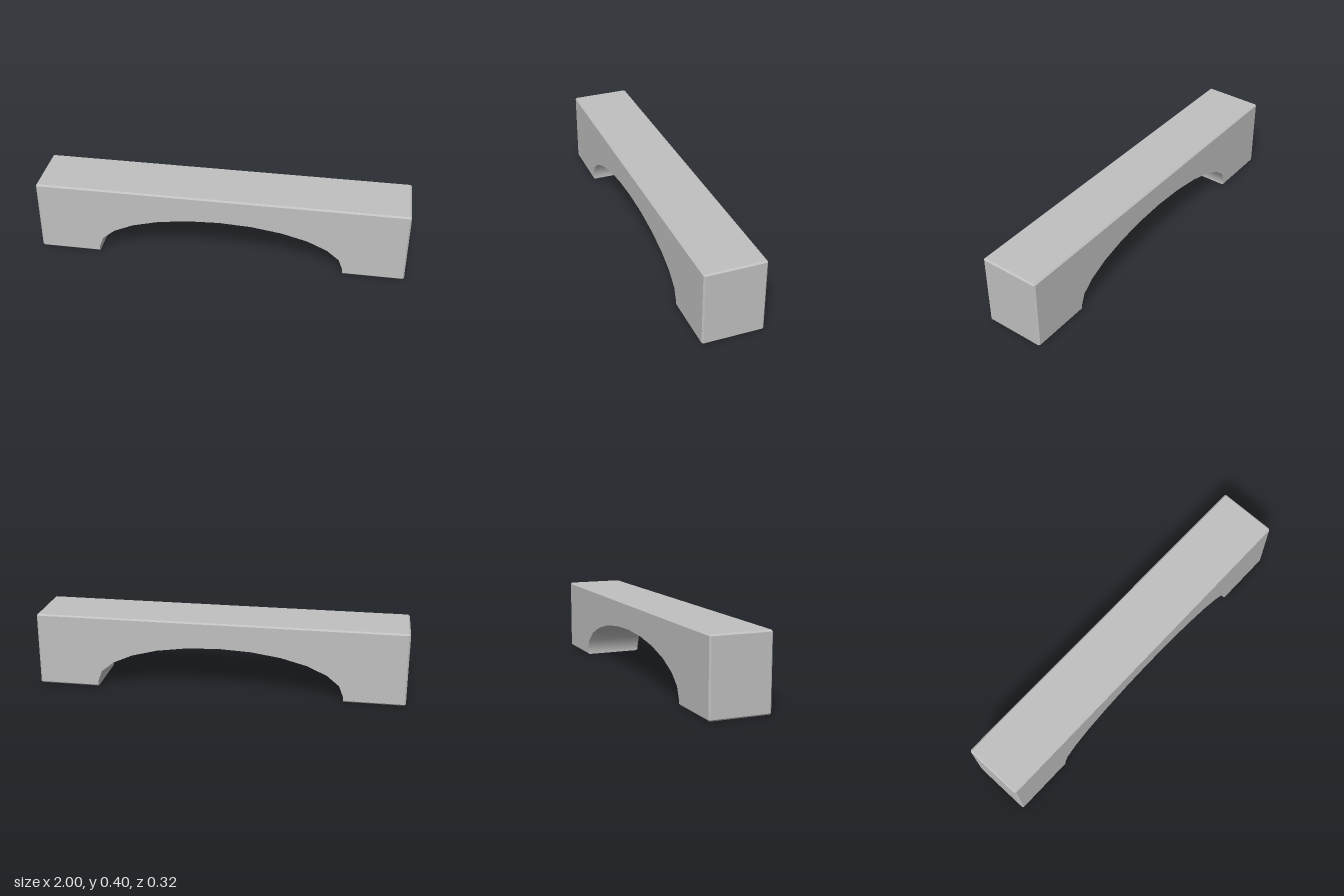
import * as THREE from 'three';

const L = 1, H = 0.402, D = 0.1625;      // half length, height, half depth
const C = 0.008;                         // edge chamfer
const AX = 0.67, AY = 0.03, AR = 0.232;  // arch half span, spring height, rise
const WALL = 0.05;

// Outer outline from the right foot, over the top, to the left foot
function outerOutline(inset) {
  const e = inset ? C : 0;
  const right = [[AX, e], [L - C, e], [L - e, C], [L - e, H - C], [L - C, H - e]];
  return [...right, ...right.map(([x, y]) => [-x, y]).reverse()];
}

// Arch outline from the left foot to the right foot
function archOutline(inset) {
  const pts = [[-AX, inset ? C : 0]];
  for (let i = 0; i <= 12; i++) {
    const a = Math.PI * (1 - i / 12);
    pts.push([AX * Math.cos(a), AY + AR * Math.sin(a)]);
  }
  pts.push([AX, inset ? C : 0]);
  return pts;
}

// Skin an outline through the depth, chamfered at front and back
function skin(outline, skipQuad = () => false) {
  const sections = [[-D, true], [-D + C, false], [D - C, false], [D, true]];
  const n = outline(false).length;
  const pos = [], idx = [];
  for (const [z, inset] of sections) for (const [x, y] of outline(inset)) pos.push(x, y, z);
  for (let s = 0; s < 3; s++) {
    for (let i = 0; i < n - 1; i++) {
      if (skipQuad(s, i)) continue;
      const a = s * n + i, b = a + 1, c = b + n, d = a + n;
      idx.push(a, b, c, a, c, d);
    }
  }
  const g = new THREE.BufferGeometry();
  g.setAttribute('position', new THREE.Float32BufferAttribute(pos, 3));
  g.setIndex(idx);
  return g;
}

export function createModel() {
  const group = new THREE.Group();
  const grey = new THREE.MeshStandardMaterial({ color: 0xc0c0c0 });
  grey.name = 'light grey';
  const add = (name, geometry) => {
    const mesh = new THREE.Mesh(geometry, grey);
    mesh.name = name;
    group.add(mesh);
    return mesh;
  };

  // Top, ends and chamfers; the soles are added separately with openings
  const shell = skin(outerOutline, (s, i) => s === 1 && (i === 0 || i === 8)).toNonIndexed();
  shell.computeVertexNormals();
  add('outerShell', shell);

  // Smooth underside of the arch
  const arch = skin(archOutline);
  arch.computeVertexNormals();
  add('archUnderside', arch);

  // Flat front and back faces
  const e = L - C;
  const outline = [[AX, C], [e, C], [e, H - C], [-e, H - C], [-e, C], ...archOutline(true).slice(0, -1)];
  const face = new THREE.Shape(outline.map(([x, y]) => new THREE.Vector2(x, y)));
  add('frontFace', new THREE.ShapeGeometry(face).translate(0, 0, D));
  add('backFace', new THREE.ShapeGeometry(face).rotateY(Math.PI).translate(0, 0, -D));

  // Hollow feet: sole ring and inward-facing socket
  const cx = (AX + L) / 2, hx = (L - AX) / 2 - WALL, hz = D - WALL;
  const sockH = H - WALL;
  for (const side of [1, -1]) {
    const name = side > 0 ? 'left' : 'right';
    const x0 = side > 0 ? AX : -e, x1 = side > 0 ? e : -AX;
    const rect = (a, b, z) => [[a, -z], [b, -z], [b, z], [a, z]].map(([x, y]) => new THREE.Vector2(x, y));
    const sole = new THREE.Shape(rect(x0, x1, D - C));
    sole.holes.push(new THREE.Path(rect(side * cx - hx, side * cx + hx, hz).reverse()));
    add(name + 'Sole', new THREE.ShapeGeometry(sole).rotateX(Math.PI / 2));

    const socket = new THREE.BoxGeometry(hx * 2, sockH, hz * 2);
    const idx = Array.from(socket.index.array);
    idx.splice(18, 6); // open bottom
    socket.setIndex(idx.reverse());
    socket.clearGroups();
    socket.computeVertexNormals();
    add(name + 'Socket', socket.translate(side * cx, sockH / 2, 0));
  }
  return group;
}
